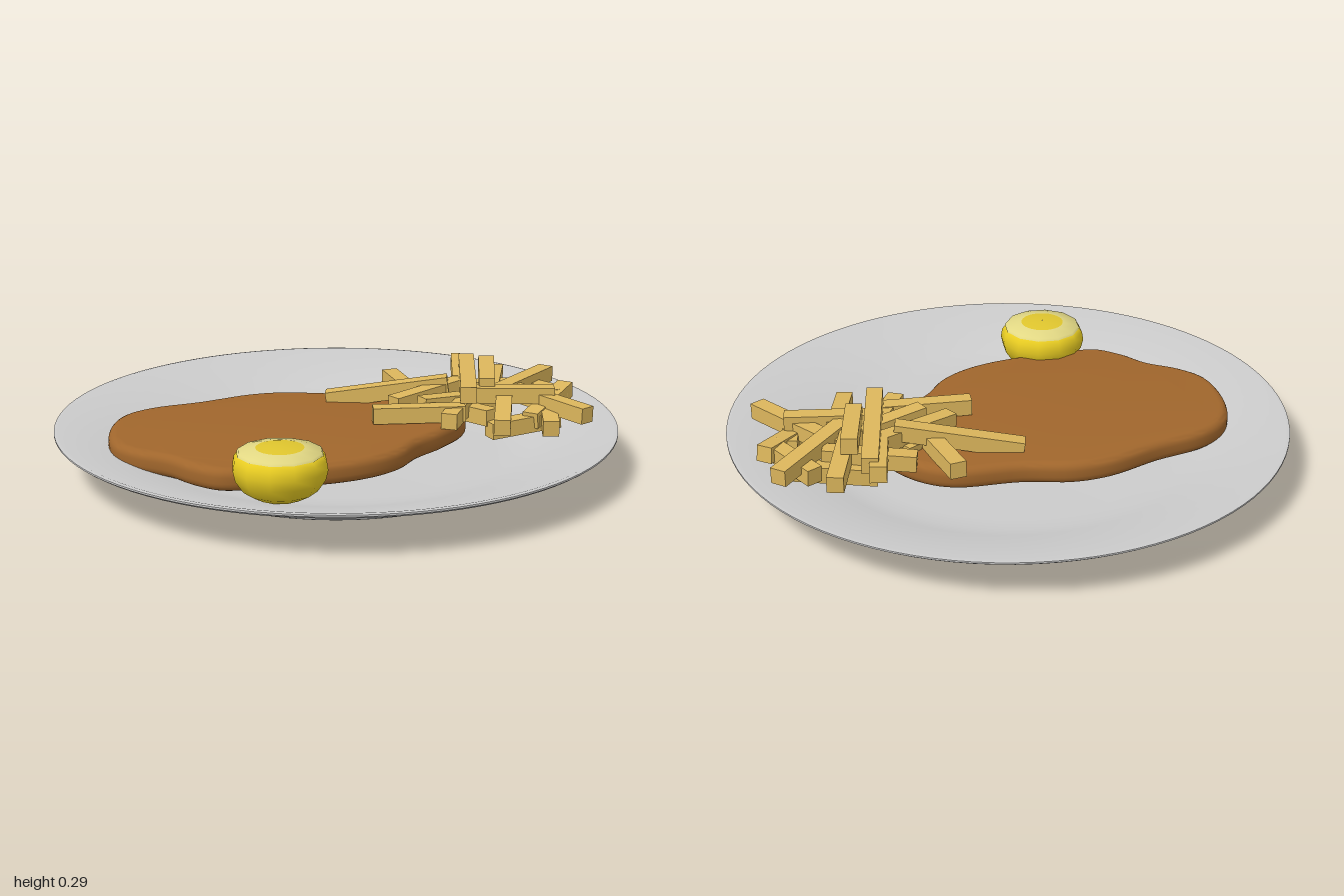
import * as THREE from 'three';
import { toCreasedNormals } from 'three/addons/utils/BufferGeometryUtils.js';

const material = (color) => new THREE.MeshStandardMaterial({ color });

function addMesh(parent, name, geometry, mat) {
  const mesh = new THREE.Mesh(geometry, mat);
  mesh.name = name;
  parent.add(mesh);
  return mesh;
}

function lathe(points, segments, crease) {
  const profile = points.map(([r, y]) => new THREE.Vector2(r, y));
  return toCreasedNormals(new THREE.LatheGeometry(profile, segments), crease);
}

// Plate with a raised foot, a flat well and a wide sloping rim
function addPlate(parent) {
  const profile = [
    [0.001, 0], [0.615, 0], [0.635, 0.008], [0.645, 0.025], [0.662, 0.045],
    [0.985, 0.143], [0.998, 0.152], [0.998, 0.158], [0.985, 0.16],
    [0.7, 0.077], [0.64, 0.064], [0.57, 0.06], [0.001, 0.06],
  ];
  addMesh(parent, 'plate', lathe(profile, 96, 0.6), material(0xcccccc));
}

// Flat breaded cutlet: smooth irregular outline with a rounded edge
function addCutlet(parent) {
  const outline = [
    [-0.81, 0], [-0.78, -0.2], [-0.7, -0.33], [-0.58, -0.385], [-0.4, -0.4],
    [-0.2, -0.435], [-0.06, -0.42], [0.1, -0.35], [0.33, -0.29], [0.43, -0.2],
    [0.49, -0.05], [0.46, 0.1], [0.33, 0.22], [0.2, 0.3], [0.1, 0.39],
    [-0.02, 0.44], [-0.17, 0.455], [-0.38, 0.43], [-0.54, 0.4],
    [-0.62, 0.31], [-0.67, 0.21], [-0.76, 0.11],
  ].map(([x, z]) => new THREE.Vector3(x, z, 0));
  const curve = new THREE.CatmullRomCurve3(outline, true);
  const points = curve.getPoints(110).slice(0, -1);
  const shape = new THREE.Shape(points.map((p) => new THREE.Vector2(p.x, p.y)));
  const bevel = 0.03;
  const geometry = new THREE.ExtrudeGeometry(shape, {
    depth: 0.022, bevelEnabled: true, bevelThickness: bevel,
    bevelSize: bevel, bevelOffset: -bevel, bevelSegments: 5,
  });
  geometry.rotateX(Math.PI / 2);
  geometry.translate(0, 0.155 - bevel, 0);
  addMesh(parent, 'cutlet', toCreasedNormals(geometry, 0.7), material(0xa0662c));
}

// Halved lemon: peel, pale cut face and a darker domed centre
function addLemon(parent) {
  const lemon = new THREE.Group();
  lemon.name = 'lemonHalf';
  lemon.position.set(-0.37, 0, 0.51);
  const peel = [
    [0.001, 0.075], [0.08, 0.08], [0.125, 0.105], [0.152, 0.145], [0.16, 0.18],
    [0.155, 0.21], [0.142, 0.228], [0.125, 0.228],
  ];
  const face = [[0.145, 0.228], [0.14, 0.236], [0.08, 0.247]];
  const centre = [[0.08, 0.247], [0.04, 0.252], [0.001, 0.253]];
  addMesh(lemon, 'lemonPeel', lathe(peel, 12, 1), material(0xe8cc22));
  addMesh(lemon, 'lemonCutFace', lathe(face, 12, 0.9), material(0xe2d884));
  addMesh(lemon, 'lemonCentre', lathe(centre, 24, 0.9), material(0xe0c62e));
  parent.add(lemon);
}

// Heap of fries, each given by its two end points: x, y, z, x, y, z
function addFries(parent) {
  const fries = new THREE.Group();
  fries.name = 'fries';
  const mat = material(0xdcb65c);
  const ends = [
    [0.05, 0.16, -0.25, 0.46, 0.23, -0.07],
    [0.11, 0.187, 0.08, 0.43, 0.187, 0.16],
    [0.34, 0.19, -0.36, 0.34, 0.18, -0.08],
    [0.63, 0.24, -0.3, 0.44, 0.25, 0.17],
    [0.91, 0.2, -0.18, 0.6, 0.21, 0.06],
    [0.9, 0.19, 0.01, 0.66, 0.15, 0.22],
    [0.82, 0.19, 0.35, 0.69, 0.2, 0.02],
    [0.5, 0.17, 0.33, 0.63, 0.2, 0.06],
    [0.34, 0.18, 0.23, 0.54, 0.19, -0.02],
    [0.7, 0.14, 0.31, 0.8, 0.17, 0.05],
    [0.75, 0.19, -0.29, 0.6, 0.2, 0],
    [0.43, 0.17, -0.21, 0.72, 0.19, -0.07],
    [0.22, 0.19, 0, 0.54, 0.21, -0.11],
    [0.3, 0.2, 0.07, 0.66, 0.18, 0],
    [0.78, 0.17, -0.17, 0.86, 0.18, 0.07],
    [0.66, 0.26, -0.18, 0.55, 0.25, 0.08],
    [0.62, 0.23, -0.35, 0.53, 0.21, -0.12],
    [0.48, 0.22, 0.05, 0.78, 0.22, 0.16],
    [0.4, 0.15, -0.12, 0.52, 0.17, 0.2],
    [0.56, 0.13, -0.18, 0.83, 0.16, -0.08],
    [0.5, 0.13, 0.22, 0.78, 0.14, 0.19],
  ];
  const width = 0.058;
  for (const [x1, y1, z1, x2, y2, z2] of ends) {
    const a = new THREE.Vector3(x1, y1, z1);
    const b = new THREE.Vector3(x2, y2, z2);
    const fry = addMesh(fries, 'fry', new THREE.BoxGeometry(width, width, a.distanceTo(b)), mat);
    fry.position.copy(a).add(b).multiplyScalar(0.5);
    fry.lookAt(b);
  }
  parent.add(fries);
}

export function createModel() {
  const group = new THREE.Group();
  group.name = 'dinnerPlate';
  addPlate(group);
  addCutlet(group);
  addLemon(group);
  addFries(group);
  return group;
}
